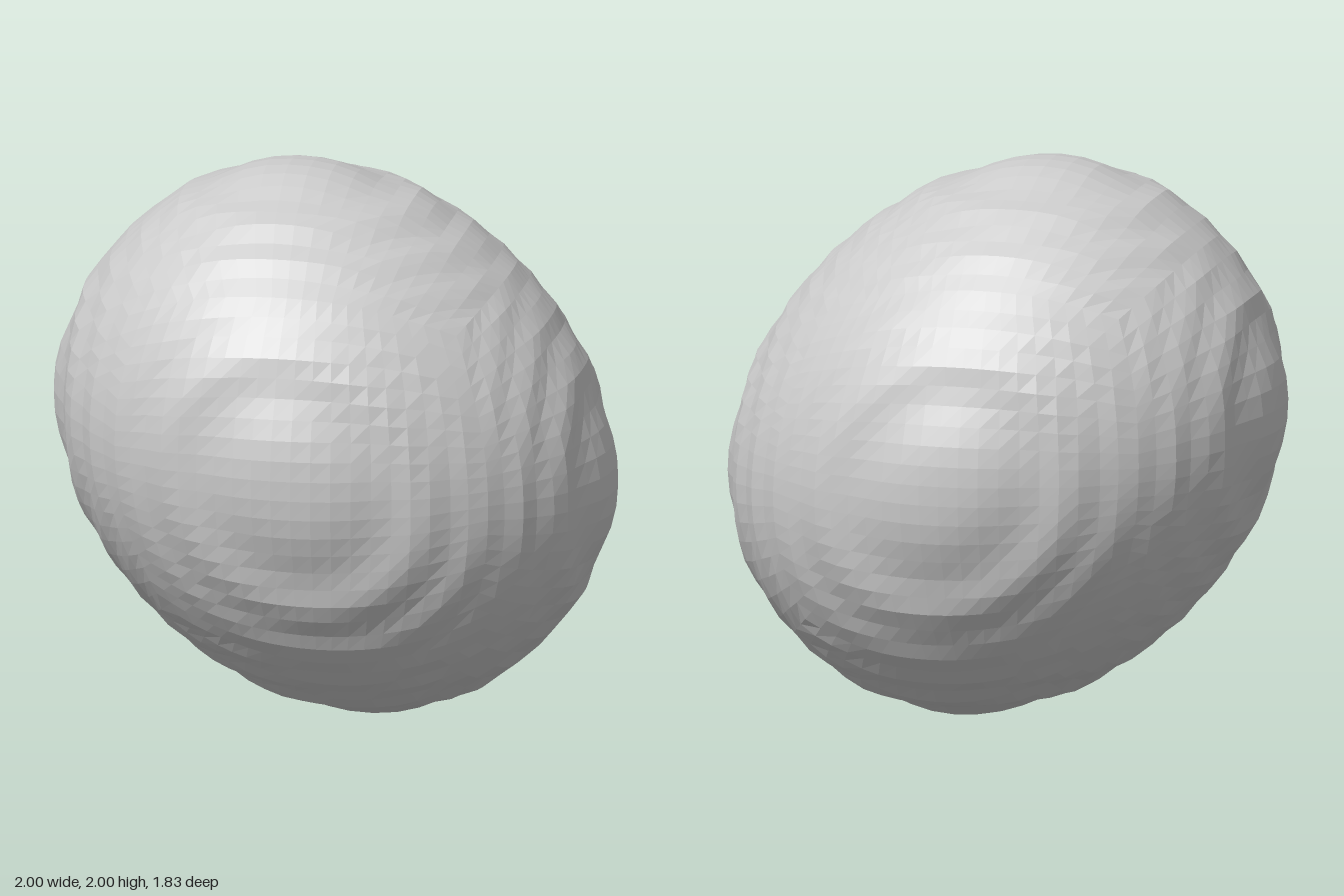
import * as THREE from 'three';

const SEGMENTS = 20;        // facets along each side of the cube-shaped net
const RING_HEIGHT = 0.014;  // relief of the rings around each pole
const RING_SPACING = 0.11;  // depth between neighbouring rings

// Tilted ellipsoid: the diagonal holds squared half-sizes, the rest the lean
const SHAPE = new THREE.Matrix3().set(
  0.97, -0.14, -0.01,
  -0.14, 0.97, 0.03,
  -0.01, 0.03, 0.815
);
const INVERSE = SHAPE.clone().invert();
const REACH = [0, 4, 8].map((e) => Math.sqrt(SHAPE.elements[e]));

// Moves a point of the cube net onto the lopsided, ringed surface
function toRockSurface(p) {
  // Even spacing over the sphere, then out to the ellipsoid
  for (let axis = 0; axis < 3; axis++) {
    p.setComponent(axis, Math.tan(p.getComponent(axis) * Math.PI / 4));
  }
  const normal = p.clone().applyMatrix3(INVERSE);
  p.divideScalar(Math.sqrt(p.dot(normal)));
  normal.normalize();

  // Shallow rings around the pole of each axis
  const n = normal.toArray();
  const rings = p.toArray().map((c, axis) => {
    const depth = REACH[axis] - Math.abs(c);
    const wave = Math.cos(2 * Math.PI * depth / RING_SPACING);
    return RING_HEIGHT * wave * Math.sign(n[axis]) * n[axis] ** 4;
  });

  // Slightly flattened flanks between the top, bottom and sides
  p.multiplyScalar(1 - 0.08 * (normal.x * normal.y) ** 2);
  return p.add(new THREE.Vector3(...rings));
}

export function createModel() {
  const group = new THREE.Group();
  group.name = 'boulder';

  // Rock body, rounded from a subdivided cube
  const geometry = new THREE.BoxGeometry(2, 2, 2, SEGMENTS, SEGMENTS, SEGMENTS);
  const position = geometry.attributes.position;
  const p = new THREE.Vector3();
  for (let i = 0; i < position.count; i++) {
    toRockSurface(p.fromBufferAttribute(position, i));
    position.setXYZ(i, p.x, p.y + 1, p.z);
  }
  geometry.computeVertexNormals();

  const rock = new THREE.Mesh(
    geometry,
    new THREE.MeshStandardMaterial({ color: 0xcccccc, flatShading: true })
  );
  rock.name = 'rockBody';
  group.add(rock);
  return group;
}
